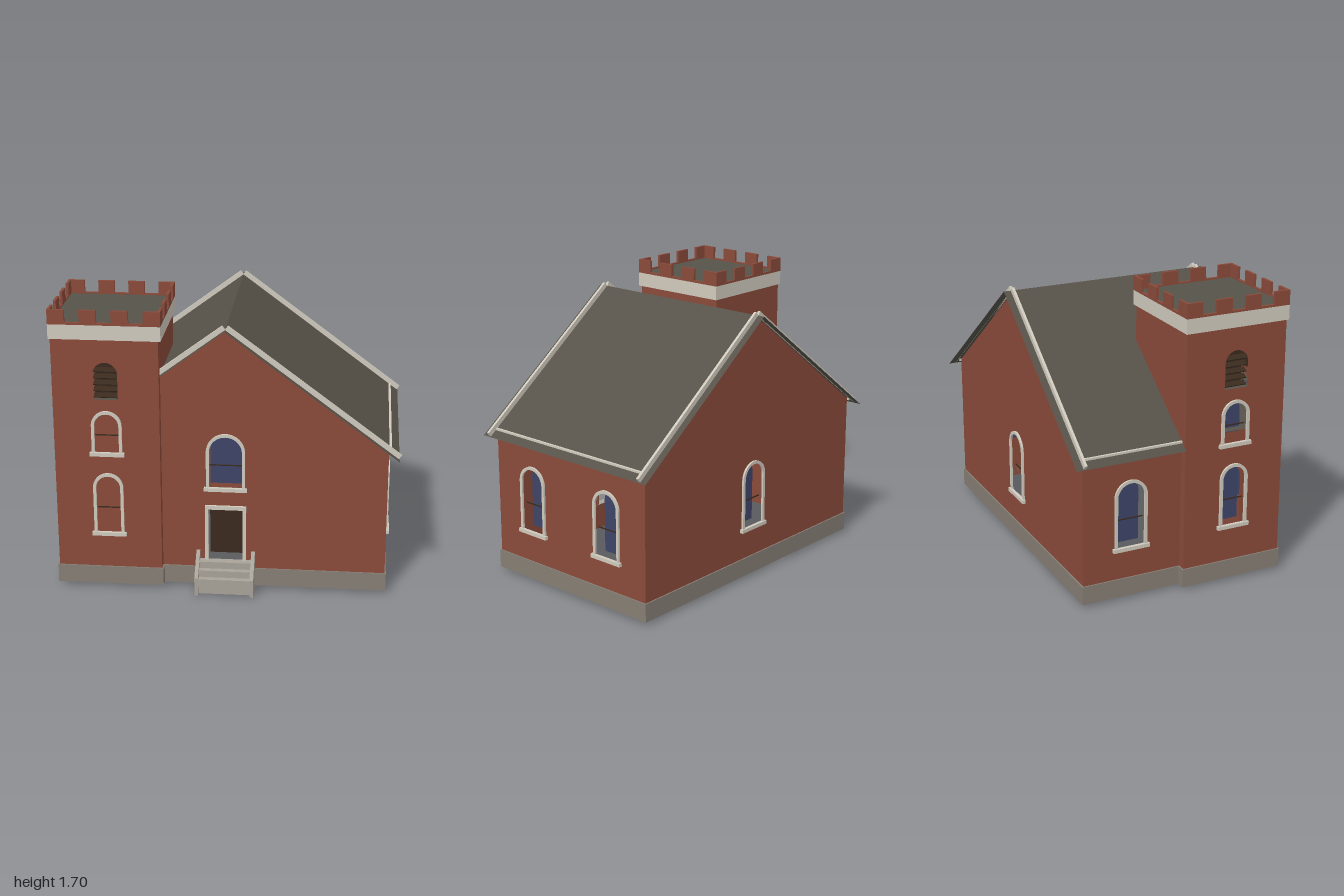
import * as THREE from 'three';

const mat = (name, color, side = THREE.FrontSide) => {
  const m = new THREE.MeshStandardMaterial({ color, side });
  m.name = name;
  return m;
};

export function createModel() {
  const root = new THREE.Group();
  root.name = 'brickChapel';
  const brick = mat('brick', 0x8a4a3a, THREE.DoubleSide);
  const trim = mat('paleTrim', 0xd0cabd);
  const stone = mat('foundationStone', 0x857e74);
  const stepStone = mat('stepStone', 0xa8a298);
  const slate = mat('slate', 0x565249, THREE.DoubleSide);
  const glass = mat('glass', 0x3e4468, THREE.DoubleSide);
  const dark = mat('darkWood', 0x3a2a1e, THREE.DoubleSide);

  const add = (parent, name, geo, m) => {
    const mesh = new THREE.Mesh(geo, m);
    mesh.name = name;
    parent.add(mesh);
    return mesh;
  };
  // Box given by its min and max corners
  const box = (parent, name, m, x0, x1, y0, y1, z0, z1) => {
    const b = add(parent, name, new THREE.BoxGeometry(x1 - x0, y1 - y0, z1 - z0), m);
    b.position.set((x0 + x1) / 2, (y0 + y1) / 2, (z0 + z1) / 2);
    return b;
  };
  const poly = (pts) => new THREE.Shape(pts.map(([x, y]) => new THREE.Vector2(x, y)));
  // Round-headed outline; h is the full height
  const arch = (cx, y0, w, h) => {
    const r = w / 2, s = new THREE.Shape();
    s.moveTo(cx - r, y0);
    s.lineTo(cx + r, y0);
    s.lineTo(cx + r, y0 + h - r);
    s.absarc(cx, y0 + h - r, r, 0, Math.PI, false);
    s.closePath();
    return s;
  };
  const rect = (x0, x1, y0, y1) => poly([[x0, y0], [x1, y0], [x1, y1], [x0, y1]]);
  const flat = (parent, name, shape, m, z = 0) => {
    const mesh = add(parent, name, new THREE.ShapeGeometry(shape, 16), m);
    mesh.position.z = z;
    return mesh;
  };
  // Group whose local z points out of the wall
  const side = (name, x, z, rotY) => {
    const g = new THREE.Group();
    g.name = name;
    g.position.set(x, 0, z);
    g.rotation.y = rotY;
    root.add(g);
    return g;
  };
  const wall = (g, name, outline, holes) => {
    outline.holes.push(...holes);
    flat(g, name, outline, brick);
  };
  const INSET = 0.07;
  // Framed arched window with sill, recessed pane and a cross bar; returns its opening
  const arched = (g, cx, y0, w, h) => {
    const f = 0.018;
    const ring = arch(cx, y0, w + 2 * f, h + f);
    ring.holes.push(arch(cx, y0, w, h));
    add(g, 'windowFrame', new THREE.ExtrudeGeometry(ring, { depth: 0.012, bevelEnabled: false, curveSegments: 16 }), trim);
    box(g, 'windowSill', trim, cx - w / 2 - 0.03, cx + w / 2 + 0.03, y0 - 0.02, y0 + 0.002, 0, 0.02);
    flat(g, 'windowPane', arch(cx, y0, w, h), glass, -INSET);
    box(g, 'windowBar', dark, cx - w / 2, cx + w / 2, y0 + h * 0.41, y0 + h * 0.41 + 0.006, -0.024, -0.018);
    return arch(cx, y0, w, h);
  };
  // Louvred belfry opening
  const louvre = (g, cx) => {
    const w = 0.14, y0 = 1.17, h = 0.22;
    flat(g, 'louvreBack', arch(cx, y0, w, h), dark, -INSET);
    for (let i = 0; i < 5; i++) {
      const slat = box(g, 'louvreSlat', dark, cx - w / 2, cx + w / 2, y0 + 0.015 + i * 0.038, y0 + 0.021 + i * 0.038, -0.045, -0.01);
      slat.rotation.x = 0.5;
    }
    return arch(cx, y0, w, h);
  };

  const RIDGE = 1.59, SLOPE = 0.745;
  const roofY = (x) => RIDGE - SLOPE * Math.abs(x);
  const W = 0.93, ZF = 0.55, ZB = -0.62, Y0 = 0.02;
  const eave = roofY(W) - 0.003;
  const gable = () => poly([[-W, Y0], [W, Y0], [W, eave], [0, RIDGE - 0.003], [-W, eave]]);

  // Front wall with doorway
  const front = side('frontWall', 0, ZF, 0);
  wall(front, 'frontGable', gable(), [arched(front, 0, 0.635, 0.19, 0.315), rect(-0.1, 0.1, 0.18, 0.5)]);
  flat(front, 'door', rect(-0.1, 0.1, 0.18, 0.5), dark, -0.09);
  for (const s of [-1, 1]) box(front, 'doorJamb', trim, s * 0.11 - 0.01, s * 0.11 + 0.01, 0.18, 0.5, 0, 0.015);
  box(front, 'doorLintel', trim, -0.12, 0.12, 0.5, 0.523, 0, 0.015);

  // Back and side walls
  const back = side('backWall', 0, ZB, Math.PI);
  wall(back, 'backGable', gable(), [arched(back, 0, 0.32, 0.164, 0.382)]);
  const right = side('eastWall', W, 0, Math.PI / 2);
  wall(right, 'eastSide', rect(-ZF, -ZB, Y0, eave), [-0.26, 0.33].map((u) => arched(right, u, 0.32, 0.164, 0.382)));
  const left = side('westWall', -W, 0, -Math.PI / 2);
  wall(left, 'westSide', rect(ZB, ZF, Y0, eave), [arched(left, -0.33, 0.32, 0.164, 0.382), arch(0.28, 0.32, 0.164, 0.382)]);

  // Tower walls; the inner two stop on the roof
  const TX0 = -0.98, TX1 = -0.37, TZ0 = -0.02, TZ1 = 0.6, TY = 1.54;
  const towerHoles = (g, c) => [arched(g, c, 0.352, 0.14, 0.352), arched(g, c, 0.85, 0.14, 0.235), louvre(g, c)];
  const tFront = side('towerFront', 0, TZ1, 0);
  wall(tFront, 'towerFrontWall', rect(TX0, TX1, Y0, TY), towerHoles(tFront, -0.675));
  const tLeft = side('towerWest', TX0, 0, -Math.PI / 2);
  wall(tLeft, 'towerWestWall', rect(TZ0, TZ1, Y0, TY), towerHoles(tLeft, 0.29));
  const tRight = side('towerEast', TX1, 0, Math.PI / 2);
  const yr = roofY(TX1);
  wall(tRight, 'towerEastWall', poly([[-TZ1, Y0], [-ZF, Y0], [-ZF, yr], [-TZ0, yr], [-TZ0, TY], [-TZ1, TY]]), []);
  const tBack = side('towerBack', 0, TZ0, Math.PI);
  wall(tBack, 'towerBackWall', poly([[-TX1, yr], [W, eave], [W, Y0], [-TX0, Y0], [-TX0, TY], [-TX1, TY]]), []);

  // Foundation bands
  const B = 0.13, T = 0.008;
  box(root, 'foundationFront', stone, TX1, W + T, Y0, B, ZF, ZF + T);
  box(root, 'foundationBack', stone, -W - T, W + T, Y0, B, ZB - T, ZB);
  box(root, 'foundationEast', stone, W, W + T, Y0, B, ZB, ZF);
  box(root, 'foundationWest', stone, -W - T, -W, Y0, B, ZB, TZ0);
  box(root, 'towerFoundationFront', stone, TX0 - T, TX1 + T, Y0, B, TZ1, TZ1 + T);
  box(root, 'towerFoundationWest', stone, TX0 - T, TX0, Y0, B, TZ0 - T, TZ1);
  box(root, 'towerFoundationEast', stone, TX1, TX1 + T, Y0, B, ZF, TZ1);
  box(root, 'towerFoundationBack', stone, TX0, -W, Y0, B, TZ0 - T, TZ0);

  // Thin roof sheets, cut around the tower
  const roof = (x0, x1, z0, z1) => {
    const g = new THREE.PlaneGeometry(x1 - x0, z1 - z0).rotateX(-Math.PI / 2);
    g.translate((x0 + x1) / 2, 0, (z0 + z1) / 2);
    const p = g.attributes.position;
    for (let i = 0; i < p.count; i++) p.setY(i, roofY(p.getX(i)));
    g.computeVertexNormals();
    add(root, 'roofSlope', g, slate);
  };
  roof(0, 0.99, -0.68, 0.605);
  roof(-0.99, 0, -0.68, TZ0);
  roof(TX1, 0, TZ0, 0.605);
  roof(-W, TX1, TZ0, ZF);

  // Raised verge strips on the slopes and strips along the eaves
  const verge = (s, reach, z) => {
    const a = Math.atan(SLOPE), len = reach / Math.cos(a), t = 0.028;
    const g = new THREE.BoxGeometry(len, t, 0.016).translate(len / 2, t / 2, 0);
    if (s < 0) g.translate(-len, 0, 0);
    const m = add(root, 'vergeTrim', g, trim);
    m.position.set(0, RIDGE, z);
    m.rotation.z = -s * a;
  };
  verge(1, 0.985, 0.556);
  verge(-1, -TX1, 0.556);
  verge(1, 0.985, -0.63);
  verge(-1, 0.985, -0.63);
  box(root, 'eaveTrim', trim, 0.932, 0.946, 0.88, 0.897, -0.63, 0.55);
  box(root, 'eaveTrim', trim, -0.946, -0.932, 0.88, 0.897, -0.63, TZ0);

  // Tower cornice, deck and battlements
  const X0 = -0.99, X1 = -0.355, Z0 = -0.03, Z1 = 0.61;
  box(root, 'towerCornice', trim, X0, X1, 1.525, 1.61, Z0, Z1);
  box(root, 'towerDeck', slate, X0 + 0.01, X1 - 0.01, 1.609, 1.614, Z0 + 0.01, Z1 - 0.01);
  const th = 0.016, mw = 0.097;
  for (const z of [Z0, Z1 - th]) {
    box(root, 'parapet', brick, X0, X1, 1.61, 1.623, z, z + th);
    for (let i = 0; i < 4; i++) {
      const x = X0 + i * (X1 - X0 - mw) / 3;
      box(root, 'merlon', brick, x, x + mw, 1.623, 1.695, z, z + th);
    }
  }
  for (const x of [X0, X1 - th]) {
    box(root, 'parapet', brick, x, x + th, 1.61, 1.623, Z0 + th, Z1 - th);
    for (let i = 0; i < 4; i++) {
      const z = Z0 + i * (Z1 - Z0 - mw) / 3;
      box(root, 'merlon', brick, x, x + th, 1.623, 1.695, i === 0 ? z + th : z, i === 3 ? z + mw - th : z + mw);
    }
  }

  // Entrance steps between sloping cheek walls
  for (let i = 0; i < 3; i++) {
    const top = 0.1 + i * 0.04, z = 0.67 - i * 0.035;
    box(root, 'stepTread', stepStone, -0.15, 0.15, top - 0.01, top, i === 2 ? ZF : z - 0.035, z);
    box(root, 'stepRiser', stepStone, -0.15, 0.15, i === 0 ? 0.01 : top - 0.045, top - 0.01, z - 0.008, z);
  }
  const cheek = poly([[-0.68, 0], [-ZF, 0], [-ZF, 0.235], [-0.68, 0.11]]);
  for (const x of [-0.172, 0.15]) {
    const m = add(root, 'stepCheek', new THREE.ExtrudeGeometry(cheek, { depth: 0.022, bevelEnabled: false }), stepStone);
    m.rotation.y = Math.PI / 2;
    m.position.x = x;
  }
  return root;
}
